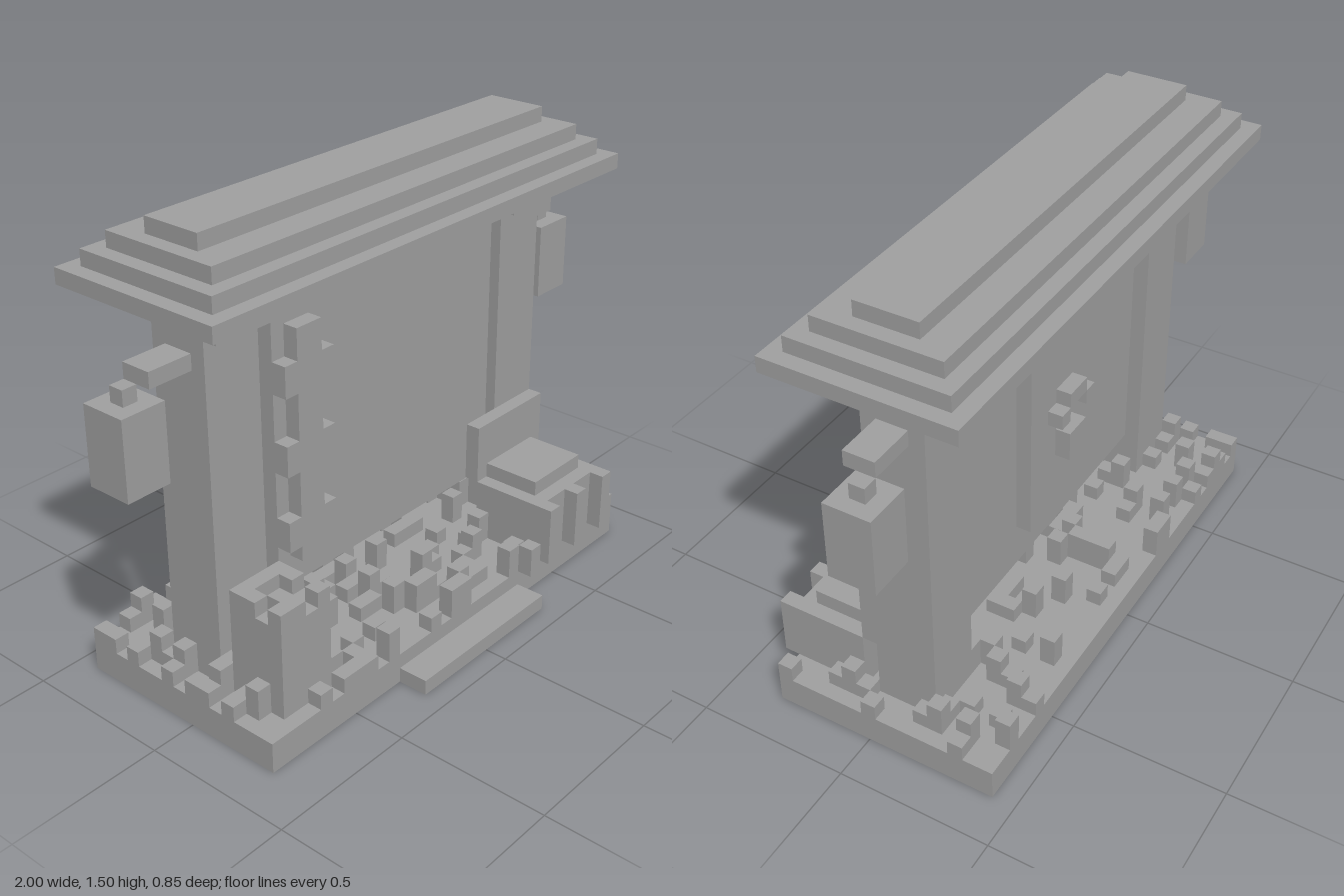
import * as THREE from 'three';
import { mergeGeometries } from 'three/addons/utils/BufferGeometryUtils.js';

const stone = new THREE.MeshStandardMaterial({ color: 0xa0a0a0 });
stone.name = 'stone grey';

// Box given by its limits on each axis
function boxGeo(x0, x1, y0, y1, z0, z1) {
  const g = new THREE.BoxGeometry(x1 - x0, y1 - y0, z1 - z0);
  return g.translate((x0 + x1) / 2, (y0 + y1) / 2, (z0 + z1) / 2);
}

// One named part made from one or more boxes
function part(parent, name, ...boxes) {
  const mesh = new THREE.Mesh(mergeGeometries(boxes.map((b) => boxGeo(...b))), stone);
  mesh.name = name;
  parent.add(mesh);
  return mesh;
}

function seeded(seed) {
  return () => {
    seed = (seed * 1664525 + 1013904223) >>> 0;
    return seed / 4294967296;
  };
}

export function createModel() {
  const model = new THREE.Group();
  model.name = 'noticeBoard';

  // Ground slab and front step
  part(model, 'base', [-0.85, 0.85, 0, 0.1, -0.425, 0.325]);
  part(model, 'frontStep', [-0.3, 0.3, 0, 0.05, 0.325, 0.425]);

  // Stepped roof: half width, bottom, back, front
  const tiers = [
    [0.9, 1.3, -0.375, 0.225],
    [0.85, 1.35, -0.325, 0.175],
    [0.8, 1.4, -0.275, 0.125],
    [0.75, 1.45, -0.175, 0.025],
  ];
  part(model, 'roof', ...tiers.map(([w, y, z0, z1]) => [-w, w, y, y + 0.05, z0, z1]));

  // Pillars, brackets and lanterns on both sides
  for (const [s, side] of [[1, 'left'], [-1, 'right']]) {
    const span = (a, b) => (s > 0 ? [a, b] : [-b, -a]);
    part(model, side + 'Pillar', [...span(0.55, 0.75), 0.1, 1.2, -0.175, 0.025]);
    part(model, side + 'Capital', [...span(0.55, 0.75), 1.2, 1.3, -0.225, 0.075]);
    part(model, side + 'LanternArm', [...span(0.75, 0.9), 1.1, 1.15, -0.125, -0.025]);
    part(model, side + 'LanternHook', [...span(0.9, 0.95), 1.05, 1.1, -0.125, -0.075]);
    part(model, side + 'Lantern', [...span(0.85, 1), 0.8, 1.05, -0.175, -0.025]);
  }

  // Board with raised front panel
  part(model, 'boardFrame', [-0.55, 0.55, 0.25, 1.25, -0.125, -0.025]);
  part(model, 'frontPanel', [-0.5, 0.5, 0.3, 1.2, -0.025, 0.025]);

  // Raised vertical ornament on the front
  const bumps = [0.45, 0.7, 0.95].flatMap((y) => [
    [-0.5, -0.45, y, y + 0.1, 0.025, 0.075],
    [-0.35, -0.3, y, y + 0.1, 0.025, 0.075],
  ]);
  part(model, 'ornament', [-0.45, -0.35, 0.4, 1.15, 0.025, 0.075], ...bumps);

  // Poster on the back with a small emblem
  part(model, 'backPoster', [-0.2, 0.2, 0.4, 1.1, -0.175, -0.125]);
  part(model, 'posterEmblem',
    [-0.05, 0.05, 0.8, 0.85, -0.225, -0.175],
    [0.05, 0.1, 0.75, 0.8, -0.225, -0.175],
    [-0.1, -0.05, 0.75, 0.8, -0.225, -0.175],
    [-0.05, 0.05, 0.6, 0.7, -0.225, -0.175]);

  // Bench with legs, cushion and backrest
  part(model, 'bench', [0.4, 0.75, 0.1, 0.3, 0.075, 0.325]);
  part(model, 'benchLegs', ...[0.4, 0.55, 0.7].map((x) => [x, x + 0.05, 0.1, 0.3, 0.325, 0.375]));
  part(model, 'benchCushion', [0.45, 0.7, 0.3, 0.35, 0.075, 0.275]);
  part(model, 'benchBack', [0.4, 0.75, 0.3, 0.5, 0.025, 0.075]);

  // Planter with an uneven top, rows from front to back
  part(model, 'planter', [-0.75, -0.55, 0.1, 0.4, 0.075, 0.275]);
  const tufts = [];
  ['XX.X', '.X..', 'X..X', 'XXXX'].forEach((row, j) => [...row].forEach((c, i) => {
    const x = -0.75 + i * 0.05, z = 0.225 - j * 0.05;
    if (c === 'X') tufts.push([x, x + 0.05, 0.4, 0.45, z, z + 0.05]);
  }));
  part(model, 'planterTufts', ...tufts);

  // Grass blocks scattered over the slab, clear of the solid parts
  const rand = seeded(11);
  const grass = [[0.3, 0.35, 0.1, 0.2, 0.325, 0.375]];
  const solid = [
    [-0.75, -0.55, -0.175, 0.025], [0.55, 0.75, -0.175, 0.025],
    [-0.75, -0.55, 0.075, 0.275], [0.4, 0.75, 0.075, 0.325],
  ];
  for (let i = 0; i < 34; i++) {
    for (let j = 0; j < 15; j++) {
      const x = -0.85 + i * 0.05, z = -0.425 + j * 0.05;
      const grows = rand() < 0.3;
      const edge = i === 0 || i === 33;
      const h = !edge && rand() < 0.45 ? 0.1 : 0.05;
      const cx = x + 0.025, cz = z + 0.025;
      const blocked = solid.some(([a, b, c, d]) => cx > a && cx < b && cz > c && cz < d);
      if (grows && !blocked) grass.push([x, x + 0.05, 0.1, 0.1 + h, z, z + 0.05]);
    }
  }
  part(model, 'grass', ...grass);

  return model;
}
